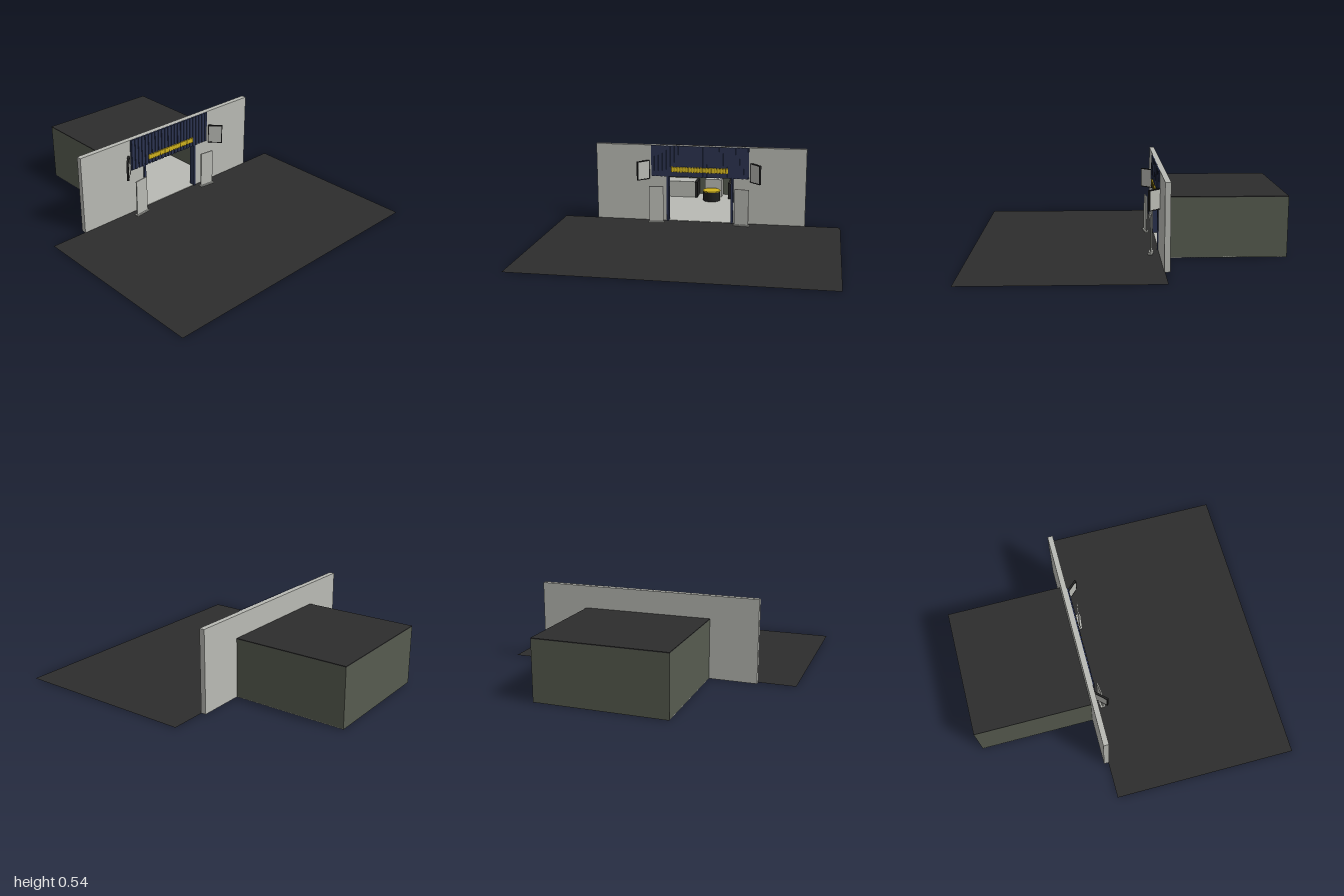
import * as THREE from 'three';

const mat = (name, color, side = THREE.FrontSide) => {
  const m = new THREE.MeshStandardMaterial({ color, side });
  m.name = name;
  return m;
};

export function createModel() {
  const root = new THREE.Group();
  root.name = 'shopfront';
  const asphalt = mat('asphalt', 0x2d2d2d, THREE.DoubleSide);
  const plaster = mat('pale plaster', 0xb9bab4);
  const olive = mat('olive', 0x565b4f);
  const navy = mat('navy', 0x2b3350);
  const yellow = mat('yellow', 0xd2b41e);
  const black = mat('black', 0x202020);

  // box given by its limits on each axis
  const box = (name, m, x0, x1, y0, y1, z0, z1, parent = root) => {
    const mesh = new THREE.Mesh(new THREE.BoxGeometry(x1 - x0, y1 - y0, z1 - z0), m);
    mesh.position.set((x0 + x1) / 2, (y0 + y1) / 2, (z0 + z1) / 2);
    mesh.name = name;
    parent.add(mesh);
    return mesh;
  };

  // pavement
  const ground = new THREE.Mesh(new THREE.PlaneGeometry(1.94, 1.21), asphalt);
  ground.rotation.x = -Math.PI / 2;
  ground.position.set(0, 0.001, 0.395);
  ground.name = 'pavement';
  root.add(ground);

  // facade with the doorway cut out
  const outline = new THREE.Shape();
  [[-0.73, 0], [-0.235, 0], [-0.235, 0.33], [0.235, 0.33], [0.235, 0], [0.73, 0], [0.73, 0.537], [-0.73, 0.537]]
    .forEach(([x, y], i) => (i ? outline.lineTo(x, y) : outline.moveTo(x, y)));
  const wall = new THREE.Mesh(new THREE.ExtrudeGeometry(outline, { depth: 0.035, bevelEnabled: false }), plaster);
  wall.position.z = -0.24;
  wall.name = 'facade';
  root.add(wall);

  // room shell
  box('floor', plaster, -0.42, 0.42, 0, 0.004, -0.995, -0.24);
  box('doorSill', plaster, -0.235, 0.235, 0, 0.004, -0.24, -0.205);
  box('roof', asphalt, -0.42, 0.42, 0.384, 0.39, -1, -0.24);
  box('backWall', olive, -0.42, 0.42, 0, 0.384, -1, -0.99);
  for (const s of [-1, 1]) {
    const x = s * 0.415;
    box('sideWall', olive, x - 0.005, x + 0.005, 0, 0.384, -0.99, -0.24);
  }

  // back wall panels
  box('backPanel', plaster, -0.15, 0.15, 0.17, 0.32, -0.99, -0.983);
  for (const s of [-1, 1])
    box('sidePanel', plaster, s * 0.305 - 0.1, s * 0.305 + 0.1, 0.17, 0.33, -0.99, -0.983);

  // cabinets with dark inner ends
  for (const s of [-1, 1]) {
    box('cabinet', plaster, s * 0.275 - 0.135, s * 0.275 + 0.135, 0.004, 0.128, -0.988, -0.86);
    box('cabinetEnd', black, s * 0.13 - 0.01, s * 0.13 + 0.01, 0.004, 0.125, -0.988, -0.855);
  }
  box('smallAppliance', plaster, 0.175, 0.21, 0.128, 0.17, -0.96, -0.9);

  // round counter with yellow rim and a box behind it
  const cylinder = (name, m, r, h, y) => {
    const mesh = new THREE.Mesh(new THREE.CylinderGeometry(r, r, h, 32), m);
    mesh.position.set(0, y, -0.8);
    mesh.name = name;
    root.add(mesh);
  };
  cylinder('counter', black, 0.065, 0.072, 0.04);
  cylinder('counterRim', yellow, 0.067, 0.007, 0.0795);
  box('counterBackBox', plaster, -0.065, 0.065, 0.004, 0.142, -0.985, -0.9);

  // navy door posts
  for (const s of [-1, 1])
    box('doorPost', navy, s * 0.225 - 0.008, s * 0.225 + 0.008, 0, 0.33, -0.24, -0.198);

  // ribbed sign board
  const sign = new THREE.Group();
  sign.name = 'signBoard';
  root.add(sign);
  box('signBacking', navy, -0.34, 0.34, 0.32, 0.536, -0.205, -0.2, sign);
  const ribs = 24, pitch = 0.68 / ribs;
  for (let i = 0; i < ribs; i++) {
    const x = -0.34 + (i + 0.5) * pitch;
    box('rib', navy, x - pitch * 0.28, x + pitch * 0.28, 0.32, 0.536, -0.2, -0.194, sign);
  }

  // yellow strip with a scalloped edge
  box('yellowStrip', yellow, -0.197, 0.197, 0.36, 0.386, -0.194, -0.187);
  for (let i = 0; i < 20; i++) {
    const bead = new THREE.Mesh(new THREE.CylinderGeometry(0.009, 0.009, 0.036, 8), yellow);
    bead.scale.z = 0.5;
    bead.position.set(-0.19 + i * 0.02, 0.373, -0.189);
    bead.name = 'stripBead';
    root.add(bead);
  }

  for (const s of [-1, 1]) {
    // projecting signs, angled out from the facade
    const side = new THREE.Group();
    side.name = 'projectingSign';
    side.position.set(s * 0.39, 0.365, -0.167);
    side.rotation.y = -s * 0.82;
    root.add(side);
    box('signPanel', plaster, -0.044, 0.044, -0.06, 0.06, -0.006, 0.006, side);
    for (const e of [-1, 1]) {
      box('signFrameSide', black, e * 0.047 - 0.003, e * 0.047 + 0.003, -0.066, 0.066, -0.007, 0.007, side);
      box('signFrameRail', black, -0.044, 0.044, e * 0.063 - 0.003, e * 0.063 + 0.003, -0.007, 0.007, side);
    }

    // standing boards on flat feet
    const board = new THREE.Group();
    board.name = 'standingBoard';
    board.position.set(s * 0.297, 0, -0.153);
    board.rotation.y = -s * 0.12;
    root.add(board);
    box('boardPanel', plaster, -0.049, 0.049, 0.007, 0.257, -0.004, 0.004, board);
    box('boardFoot', plaster, -0.055, 0.055, 0, 0.008, -0.014, 0.014, board);
  }
  return root;
}
